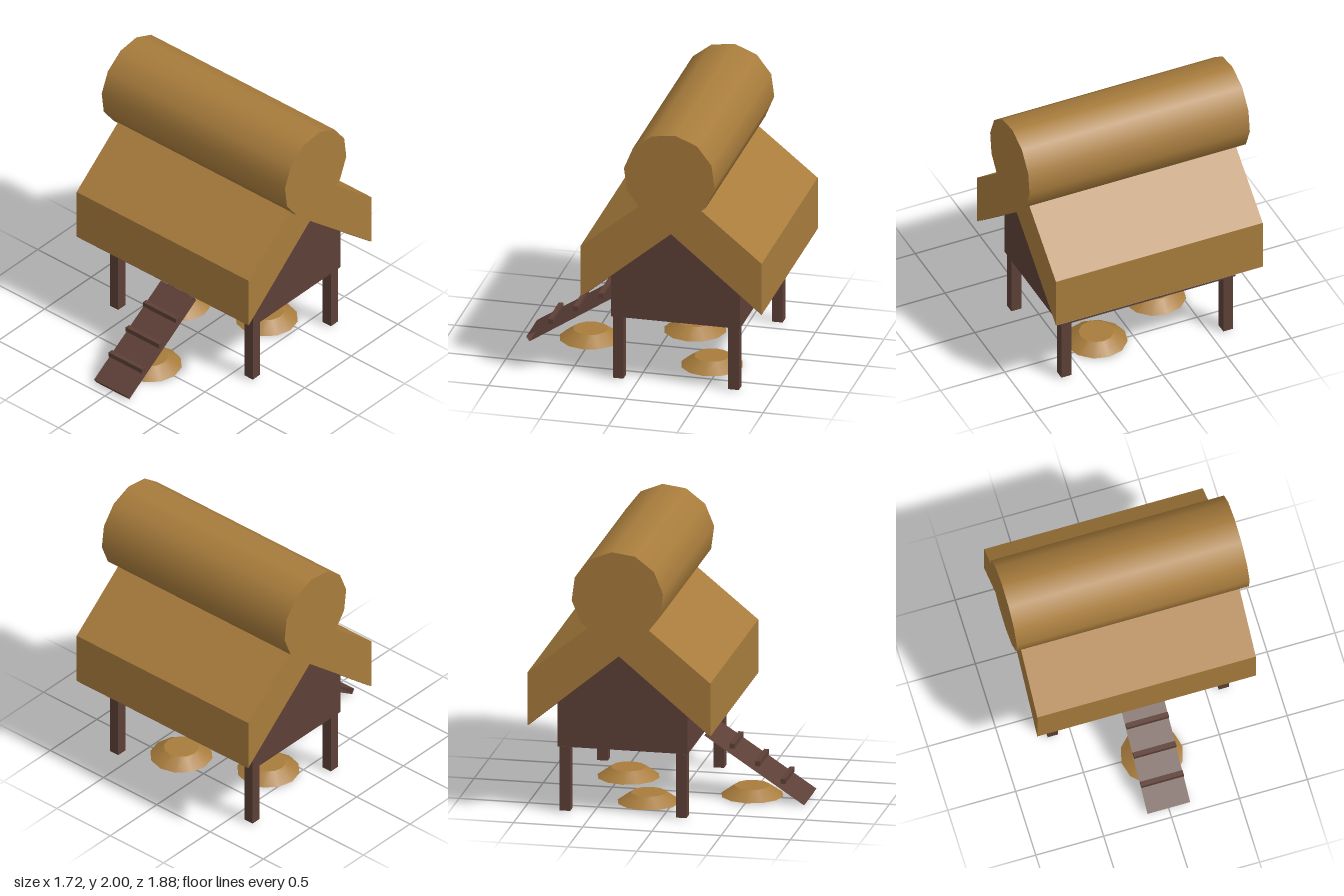
import * as THREE from 'three';

const mat = (name, color) => new THREE.MeshStandardMaterial({ name, color, side: THREE.DoubleSide });

export function createModel() {
  const straw = mat('straw', 0xa87c3c);
  const wood = mat('wood', 0x5d4037);
  const dark = mat('doorway', 0x1a1a2e);
  const root = new THREE.Group();
  const add = (name, geo, m, x = 0, y = 0, z = 0) => {
    const mesh = new THREE.Mesh(geo, m);
    mesh.name = name;
    mesh.position.set(x, y, z);
    root.add(mesh);
    return mesh;
  };
  const box = (name, w, h, d, m, x, y, z) => add(name, new THREE.BoxGeometry(w, h, d), m, x, y, z);

  // Sheet spanning x = -hw..hw between two (z, y) points
  const sheet = (name, hw, [z0, y0], [z1, y1], m) => {
    const g = new THREE.BufferGeometry();
    g.setAttribute('position', new THREE.Float32BufferAttribute(
      [-hw, y0, z0, hw, y0, z0, hw, y1, z1, -hw, y1, z1], 3));
    g.setIndex([0, 1, 2, 0, 2, 3]);
    g.computeVertexNormals();
    return add(name, g, m);
  };
  const shapeOf = (pts) => new THREE.Shape(pts.map(([z, y]) => new THREE.Vector2(z, y)));

  const mid = -0.28; // ridge line in z

  // Hollow hut: front and back walls, two gables, no floor
  const half = 0.47, base = 0.49, wallTop = 0.825, peak = 1.22;
  sheet('frontWall', 0.68, [mid + half, base], [mid + half, wallTop], wood);
  sheet('backWall', 0.68, [mid - half, wallTop], [mid - half, base], wood);
  for (const s of [-1, 1]) {
    const g = new THREE.ShapeGeometry(shapeOf(
      [[-half, base], [half, base], [half, wallTop], [0, peak], [-half, wallTop]]));
    g.rotateY(s * Math.PI / 2);
    add(s > 0 ? 'leftGable' : 'rightGable', g, wood, s * 0.68, 0, mid);
  }
  box('doorway', 0.29, 0.29, 0.018, dark, 0, 0.685, 0.192);

  // Thick thatched roof with wooden underside
  const roof = new THREE.ExtrudeGeometry(shapeOf([
    [-0.66, 0.67], [0, peak], [0.66, 0.67], [0.66, 1.06], [0, 1.6], [-0.66, 1.06],
  ]), { depth: 1.61, bevelEnabled: false });
  roof.translate(0, 0, -0.805);
  roof.rotateY(-Math.PI / 2);
  add('thatchedRoof', roof, straw, 0, 0, mid);
  for (const s of [-1, 1]) {
    const eave = [mid + s * 0.659, 0.667], ridge = [mid, peak - 0.003];
    sheet('roofUnderside', 0.804, s > 0 ? ridge : eave, s > 0 ? eave : ridge, wood);
  }

  // Straw bundle along the ridge
  const roll = new THREE.CylinderGeometry(0.333, 0.333, 1.715, 12);
  roll.rotateZ(Math.PI / 2);
  roll.rotateX(-0.13);
  add('ridgeBundle', roll, straw, 0, 1.67, mid);

  // Stilts
  for (const x of [-0.63, 0.63]) {
    for (const z of [mid - 0.42, mid + 0.42]) box('stilt', 0.077, 0.47, 0.077, wood, x, 0.25, z);
  }

  // Ramp: top and bottom boards, closed at the ends
  const a = [0.94, 0.04], b = [0.22, 0.51], c = [0.197, 0.475], d = [0.917, 0.005];
  sheet('rampTop', 0.155, a, b, wood);
  sheet('rampUpperEnd', 0.155, b, c, wood);
  sheet('rampBottom', 0.155, c, d, wood);
  sheet('rampLowerEnd', 0.155, d, a, wood);
  for (let i = 0; i < 3; i++) {
    box('rampRung', 0.312, 0.036, 0.036, wood, 0, 0.173 + i * 0.118, 0.764 - i * 0.184);
  }

  // Low straw mounds, open underneath
  for (const [x, z] of [[0, 0.51], [-0.32, -0.17], [0.26, -0.44]]) {
    add('strawMound', new THREE.CylinderGeometry(0.125, 0.224, 0.07, 12, 1, true), straw, x, 0.05, z);
    const cap = new THREE.CircleGeometry(0.125, 12);
    cap.rotateX(-Math.PI / 2);
    add('strawMoundTop', cap, straw, x, 0.085, z);
  }
  return root;
}
